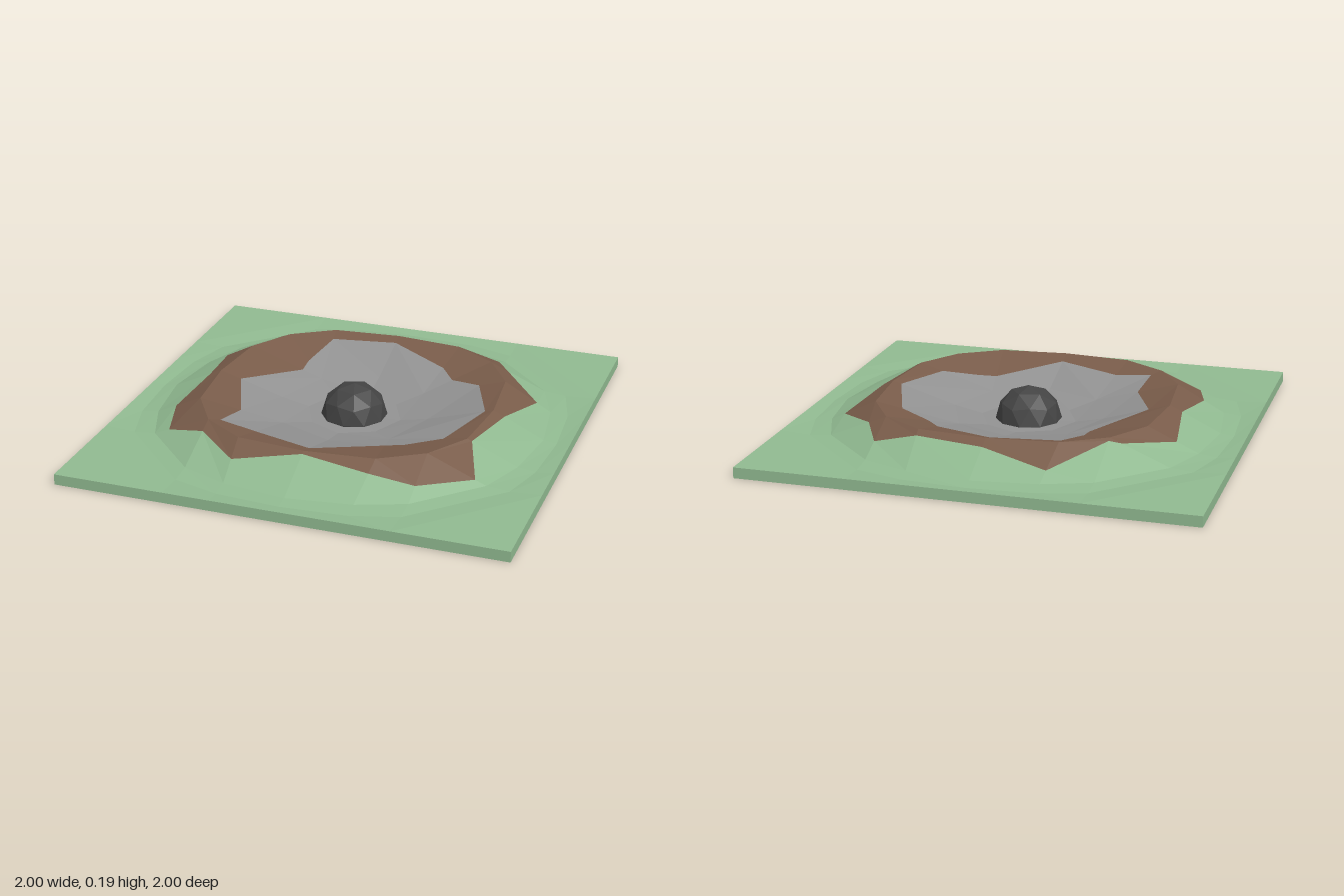
import * as THREE from 'three';

const material = (color) => new THREE.MeshStandardMaterial({ color, flatShading: true });

// A ring of 20 points: five per quadrant, repeated by quarter turns from +z to +x.
function ring(y, quarter) {
  const points = [];
  for (let q = 0; q < 4; q++) {
    for (const [px, pz] of quarter) {
      let x = px, z = pz;
      for (let i = 0; i < q; i++) [x, z] = [z, -x];
      points.push(new THREE.Vector3(x, y, z));
    }
  }
  return points;
}

const blend = (a, b, amounts) => a.map((p, i) => p.clone().lerp(b[i], amounts[i]));

// Skins consecutive rings (inside to outside), leaving out collapsed faces.
function loft(name, rings, color) {
  const positions = [];
  const area = new THREE.Triangle();
  const face = (a, b, c) => {
    if (area.set(a, b, c).getArea() > 1e-7) {
      for (const p of [a, b, c]) positions.push(p.x, p.y, p.z);
    }
  };
  for (let r = 0; r + 1 < rings.length; r++) {
    const inner = rings[r], outer = rings[r + 1];
    for (let i = 0; i < inner.length; i++) {
      const j = (i + 1) % inner.length;
      face(inner[i], outer[i], outer[j]);
      face(inner[i], outer[j], inner[j]);
    }
  }
  const geometry = new THREE.BufferGeometry();
  geometry.setAttribute('position', new THREE.Float32BufferAttribute(positions, 3));
  geometry.computeVertexNormals();
  const mesh = new THREE.Mesh(geometry, material(color));
  mesh.name = name;
  return mesh;
}

export function createModel() {
  const group = new THREE.Group();
  group.name = 'craterTile';

  // Terrain rings from the crater floor out to the tile's edge
  const point = [[0, 0], [0, 0], [0, 0], [0, 0], [0, 0]];
  const square = [[0, 1], [0.29, 1], [1, 1], [1, 1], [1, 0.29]];
  const centre = ring(0.04, point);
  const floor = ring(0.043, [[0, 0.22], [0.15, 0.15], [0.15, 0.15], [0.15, 0.15], [0.15, 0.15]]);
  const basin = ring(0.07, [[0, 0.35], [0.25, 0.25], [0.25, 0.25], [0.25, 0.25], [0.25, 0.25]]);
  const rim = ring(0.16, [[0, 0.65], [0.31, 0.62], [0.5, 0.5], [0.5, 0.5], [0.62, 0.31]]);
  const foot = ring(0.05, [[0, 0.88], [0.29, 0.84], [0.5, 0.76], [0.76, 0.5], [0.84, 0.29]]);
  const moat = ring(0.04, [[0, 0.94], [0.29, 0.92], [0.5, 0.86], [0.86, 0.5], [0.92, 0.29]]);
  const edge = ring(0.048, [[0, 1], [0.29, 1], [0.5, 1], [1, 0.5], [1, 0.29]]);

  // Ragged borders: how far the rock starts down the bowl, and the soil spills down the bank
  const rockEdge = blend(rim, basin, [
    0.23, 0.65, 0.58, 0.58, 0.3,
    0.13, 0.32, 0.58, 0.58, 0.46,
    0.17, 0.19, 0.6, 0.6, 0.73,
    0.32, 0.49, 0.16, 0.16, 0.38]);
  const soilEdge = blend(rim, foot, [
    0.07, 0.33, 0.65, 0.81, 0.09,
    0.22, 0.7, 0.31, 0.58, 0.16,
    0.22, 0.68, 0.08, 0.2, 0.57,
    0.24, 0.57, 0.73, 0.25, 0.48]);

  group.add(loft('craterFloor', [centre, floor, basin, rockEdge], 0x929292));
  group.add(loft('soilRim', [rockEdge, rim, soilEdge], 0x795c4a));
  // Bank, ground, side walls and underside
  group.add(loft('grassGround',
    [soilEdge, foot, moat, edge, ring(0.048, square), ring(0, square), ring(0, point)], 0x90b990));

  // Half-buried faceted ball, one corner pointing straight up
  const ball = new THREE.IcosahedronGeometry(0.15, 1);
  ball.rotateX(-Math.atan2((1 + Math.sqrt(5)) / 2, 1));
  ball.rotateY(Math.PI / 2);
  const meteorite = new THREE.Mesh(ball, material(0x444444));
  meteorite.name = 'meteorite';
  // The lowest corner is kept above the tile's underside
  const pos = ball.attributes.position;
  for (let i = 0; i < pos.count; i++) pos.setY(i, Math.max(pos.getY(i), -0.035));
  ball.computeVertexNormals();
  meteorite.position.y = 0.043;
  group.add(meteorite);

  return group;
}
